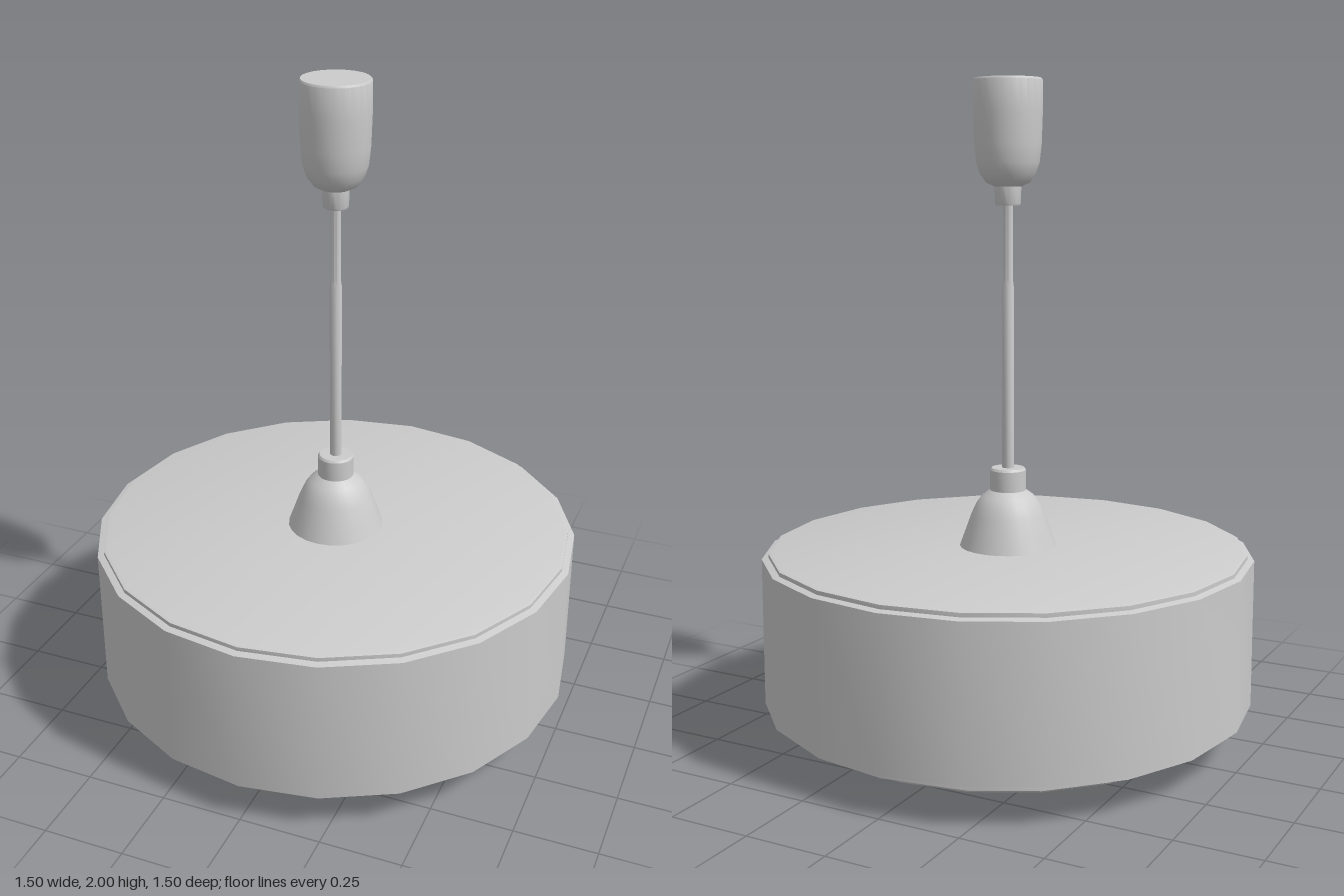
import * as THREE from 'three';
import { toCreasedNormals } from 'three/addons/utils/BufferGeometryUtils.js';

const material = new THREE.MeshStandardMaterial({ color: 0xcccccc });

// Turned part from a [radius, height] profile, listed counter-clockwise
function turned(name, profile, sides, crease = 0.6) {
  const points = profile.map(([r, y]) => new THREE.Vector2(r, y));
  const geometry = toCreasedNormals(new THREE.LatheGeometry(points, sides), crease);
  const mesh = new THREE.Mesh(geometry, material);
  mesh.name = name;
  return mesh;
}

export function createModel() {
  const lamp = new THREE.Group();
  lamp.name = 'pendantLamp';

  // Drum with a shallow lid and an inset lower rim
  lamp.add(turned('drumShade', [
    [0.53, 0.11], [0.735, 0.11], [0.735, 0.12], [0.75, 0.123], [0.75, 0.575],
    [0.73, 0.58], [0.73, 0.592], [0.72, 0.595], [0, 0.595],
  ], 20));

  // Stepped rings under the drum
  lamp.add(turned('middleRing', [
    [0.42, 0.06], [0.635, 0.06], [0.64, 0.066], [0.64, 0.1], [0.645, 0.112],
  ], 20));
  lamp.add(turned('lowerRing', [
    [0.365, 0.08], [0.365, 0.004], [0.37, 0], [0.45, 0], [0.455, 0.006],
    [0.455, 0.05], [0.46, 0.062],
  ], 20));

  // Hollow inside, seen through the opening
  lamp.add(turned('innerReflector', [
    [0, 0.46], [0.2, 0.45], [0.38, 0.42], [0.49, 0.375], [0.54, 0.32],
    [0.55, 0.25], [0.55, 0.12], [0.365, 0.08],
  ], 20));

  // Bell-shaped cover where the cord meets the drum
  lamp.add(turned('bellCover', [
    [0.15, 0.59], [0.13, 0.645], [0.112, 0.695], [0.098, 0.725], [0.08, 0.75],
    [0.055, 0.768], [0.055, 0.83], [0.05, 0.837], [0, 0.837],
  ], 24));

  // Cord, slightly thinner in its upper half
  lamp.add(turned('cord', [
    [0.018, 0.82], [0.018, 1.39], [0.015, 1.41], [0.015, 1.65],
  ], 10, 0.8));

  // Ceiling cup
  lamp.add(turned('ceilingCup', [
    [0, 1.63], [0.036, 1.63], [0.038, 1.635], [0.04, 1.685], [0.065, 1.697],
    [0.083, 1.722], [0.094, 1.755], [0.1, 1.81], [0.103, 1.9], [0.103, 1.994],
    [0.099, 2], [0, 2],
  ], 24));

  return lamp;
}
